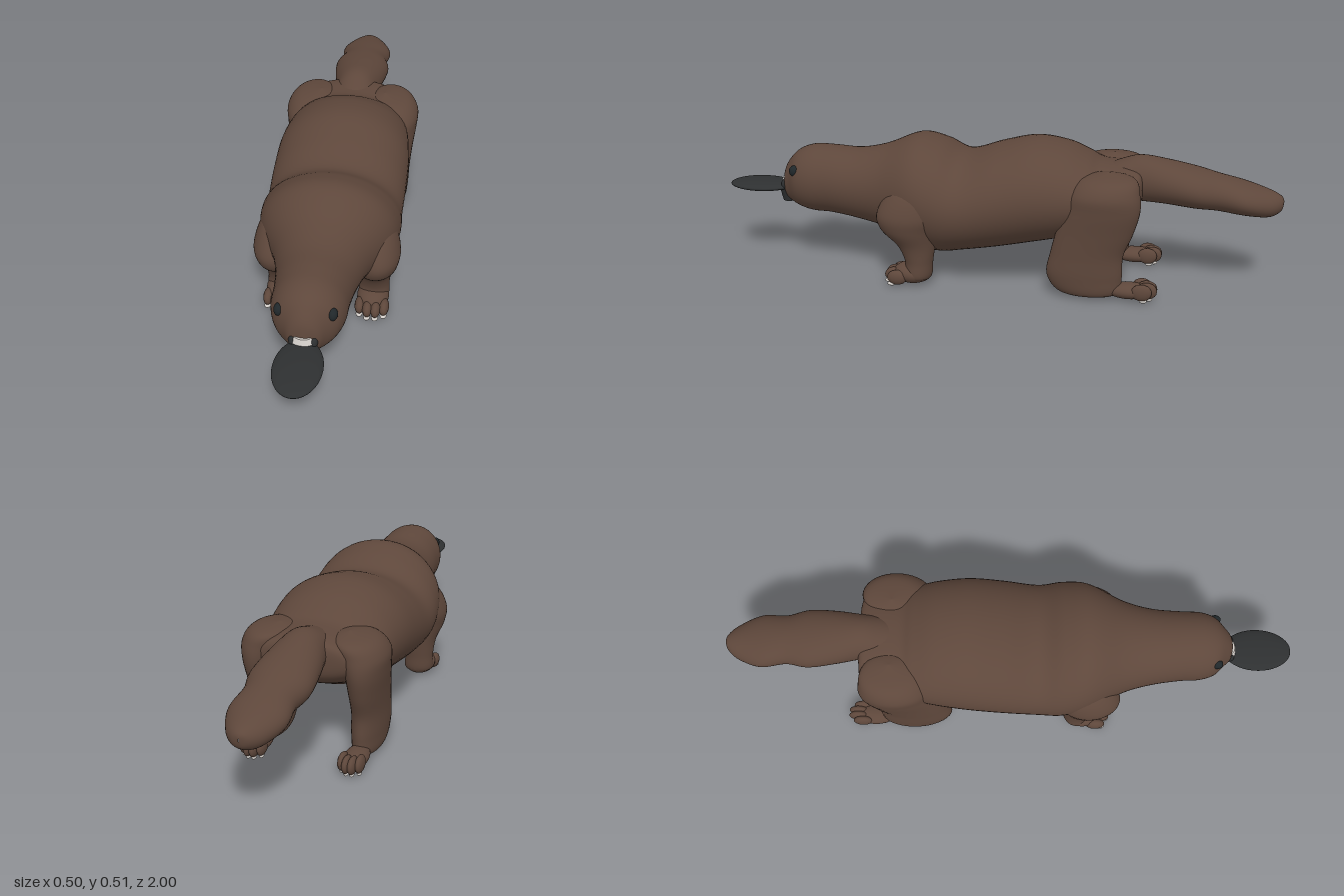
import * as THREE from 'three';

const mat = (name, color, side = THREE.FrontSide) => {
  const m = new THREE.MeshStandardMaterial({ color, side });
  m.name = name;
  return m;
};

// Smooth value between table rows
const spline = (rows, k, t) => {
  const n = rows.length - 1, i = Math.min(Math.floor(t), n - 1), f = t - i;
  const p = (j) => rows[Math.max(0, Math.min(n, j))][k];
  const a = p(i - 1), b = p(i), c = p(i + 1), d = p(i + 2);
  return b + 0.5 * f * (c - a + f * (2 * a - 5 * b + 4 * c - d + f * (3 * (b - c) + d - a)));
};

// Closed skin over elliptical sections [x, y, z, radiusX, radius2], rising along 'z' or 'y'
function loft(rows, axis, steps = 6, sides = 40) {
  const pos = [], idx = [], rings = (rows.length - 1) * steps;
  for (let i = 0; i <= rings; i++) {
    const [x, y, z, ra, rb] = [0, 1, 2, 3, 4].map((k) => spline(rows, k, i / steps));
    const rx = Math.max(ra, 0.0005), r2 = Math.max(rb, 0.0005);
    for (let j = 0; j < sides; j++) {
      const a = (j / sides) * Math.PI * 2, c = Math.cos(a), s = Math.sin(a);
      if (axis === 'z') pos.push(x + rx * c, y + r2 * s, z);
      else pos.push(x + rx * s, y, z + r2 * c);
      if (i < rings) {
        const p = i * sides + j, q = i * sides + ((j + 1) % sides);
        idx.push(p, q, q + sides, p, q + sides, p + sides);
      }
    }
  }
  const g = new THREE.BufferGeometry();
  g.setAttribute('position', new THREE.Float32BufferAttribute(pos, 3));
  g.setIndex(idx);
  g.computeVertexNormals();
  return g;
}

// Profile rows [z, top, bottom, halfWidth] to loft sections
const profile = (rows) => rows.map(([z, t, b, w]) => [0, (t + b) / 2, z, w, (t - b) / 2]);
const mirrorRows = (rows, s) => rows.map(([x, ...rest]) => [x * s, ...rest]);

export function createModel() {
  const model = new THREE.Group();
  model.name = 'platypus';
  const fur = mat('brown fur', 0x5e473b);
  const billMat = mat('dark bill', 0x2e3031);
  const eyeMat = mat('dark eye', 0x20272a);
  const clawMat = mat('pale claw', 0xd2cdc8);

  const add = (name, geo, material, parent = model) => {
    const m = new THREE.Mesh(geo, material);
    m.name = name;
    parent.add(m);
    return m;
  };
  const blob = (name, p, r, material, parent, seg = 24) => {
    const m = add(name, new THREE.SphereGeometry(1, seg, Math.round(seg * 0.7)), material, parent);
    m.position.set(...p);
    m.scale.set(...r);
    return m;
  };

  // Body and head, from rump to snout
  add('body', loft(profile([
    [-0.525, 0.38, 0.36, 0], [-0.515, 0.425, 0.31, 0.15], [-0.47, 0.44, 0.27, 0.185],
    [-0.38, 0.445, 0.225, 0.2], [-0.33, 0.47, 0.2, 0.21], [-0.25, 0.503, 0.17, 0.226],
    [-0.14, 0.516, 0.145, 0.238], [-0.02, 0.49, 0.12, 0.24], [0.1, 0.455, 0.1, 0.238],
    [0.19, 0.492, 0.088, 0.242], [0.28, 0.508, 0.115, 0.225], [0.4, 0.462, 0.16, 0.165],
    [0.5, 0.442, 0.182, 0.136], [0.6, 0.446, 0.197, 0.123], [0.67, 0.446, 0.2, 0.119],
    [0.72, 0.43, 0.212, 0.102], [0.755, 0.4, 0.226, 0.068], [0.78, 0.36, 0.245, 0.042],
    [0.79, 0.31, 0.29, 0]]), 'z', 6, 56), fur);

  // Broad flattened tail
  add('tail', loft(profile([
    [-1, 0.335, 0.325, 0], [-0.99, 0.352, 0.298, 0.03], [-0.95, 0.371, 0.278, 0.064],
    [-0.87, 0.395, 0.282, 0.095], [-0.78, 0.418, 0.292, 0.088], [-0.7, 0.438, 0.297, 0.104],
    [-0.6, 0.459, 0.306, 0.094], [-0.51, 0.471, 0.31, 0.078], [-0.44, 0.452, 0.32, 0.075],
    [-0.36, 0.42, 0.35, 0.05]]), 'z'), fur);

  const frontLeg = [
    [0.16, 0.02, 0.25, 0, 0], [0.16, 0.03, 0.25, 0.05, 0.045], [0.163, 0.09, 0.246, 0.051, 0.05],
    [0.165, 0.15, 0.255, 0.057, 0.068], [0.17, 0.21, 0.28, 0.074, 0.1],
    [0.172, 0.27, 0.275, 0.077, 0.115], [0.15, 0.35, 0.25, 0.065, 0.09], [0.13, 0.41, 0.24, 0, 0]];
  const hindLeg = [
    [0.17, 0.008, -0.36, 0, 0], [0.17, 0.02, -0.355, 0.044, 0.1], [0.17, 0.08, -0.34, 0.055, 0.13],
    [0.172, 0.16, -0.347, 0.056, 0.125], [0.175, 0.24, -0.372, 0.06, 0.13],
    [0.176, 0.32, -0.395, 0.069, 0.128], [0.166, 0.38, -0.4, 0.08, 0.12],
    [0.14, 0.425, -0.41, 0.068, 0.09], [0.12, 0.442, -0.41, 0, 0]];

  for (const s of [1, -1]) {
    const side = s > 0 ? 'left' : 'right';

    // Front leg with four toes
    const front = new THREE.Group();
    front.name = side + 'FrontLeg';
    model.add(front);
    add('leg', loft(mirrorRows(frontLeg, s), 'y'), fur, front);
    blob('foot', [s * 0.16, 0.043, 0.27], [0.056, 0.038, 0.07], fur, front);
    for (let i = 0; i < 4; i++) {
      const x = s * (0.119 + i * 0.028), z = i % 3 ? 0.333 : 0.318;
      blob('toe', [x, 0.034, z], [0.018, 0.027, 0.036], fur, front, 14);
      blob('claw', [x, 0.01, z + 0.02], [0.012, 0.007, 0.016], clawMat, front, 10);
    }

    // Hind leg with the foot trailing backwards
    const hind = new THREE.Group();
    hind.name = side + 'HindLeg';
    model.add(hind);
    add('leg', loft(mirrorRows(hindLeg, s), 'y'), fur, hind);
    blob('foot', [s * 0.17, 0.036, -0.495], [0.041, 0.028, 0.08], fur, hind);
    for (let i = 0; i < 4; i++) {
      const x = s * (0.141 + i * 0.0195), z = i % 3 ? -0.557 : -0.54;
      blob('toe', [x, 0.042, z], [0.015, 0.03, 0.036], fur, hind, 14);
      blob('claw', [x, 0.012, z - 0.006], [0.008, 0.008, 0.014], clawMat, hind, 10);
    }

    // Eye and the dark corner of the mouth
    blob(side + 'Eye', [s * 0.083, 0.366, 0.722], [0.016, 0.021, 0.02], eyeMat);
    blob(side + 'MouthCorner', [s * 0.033, 0.297, 0.775], [0.013, 0.022, 0.02], billMat);
  }

  // Flat paddle bill, lower jaw and pale plate at its root
  blob('bill', [0, 0.285, 0.88], [0.077, 0.018, 0.12], billMat, model, 40);
  const jaw = add('lowerJaw', new THREE.CylinderGeometry(0.042, 0.03, 0.048, 24), billMat);
  jaw.position.set(0, 0.255, 0.775);
  jaw.scale.z = 0.85;
  const plate = add('noseplate', new THREE.CylinderGeometry(0.026, 0.038, 0.02, 20), clawMat);
  plate.position.set(0, 0.309, 0.782);
  plate.scale.z = 0.55;

  return model;
}
